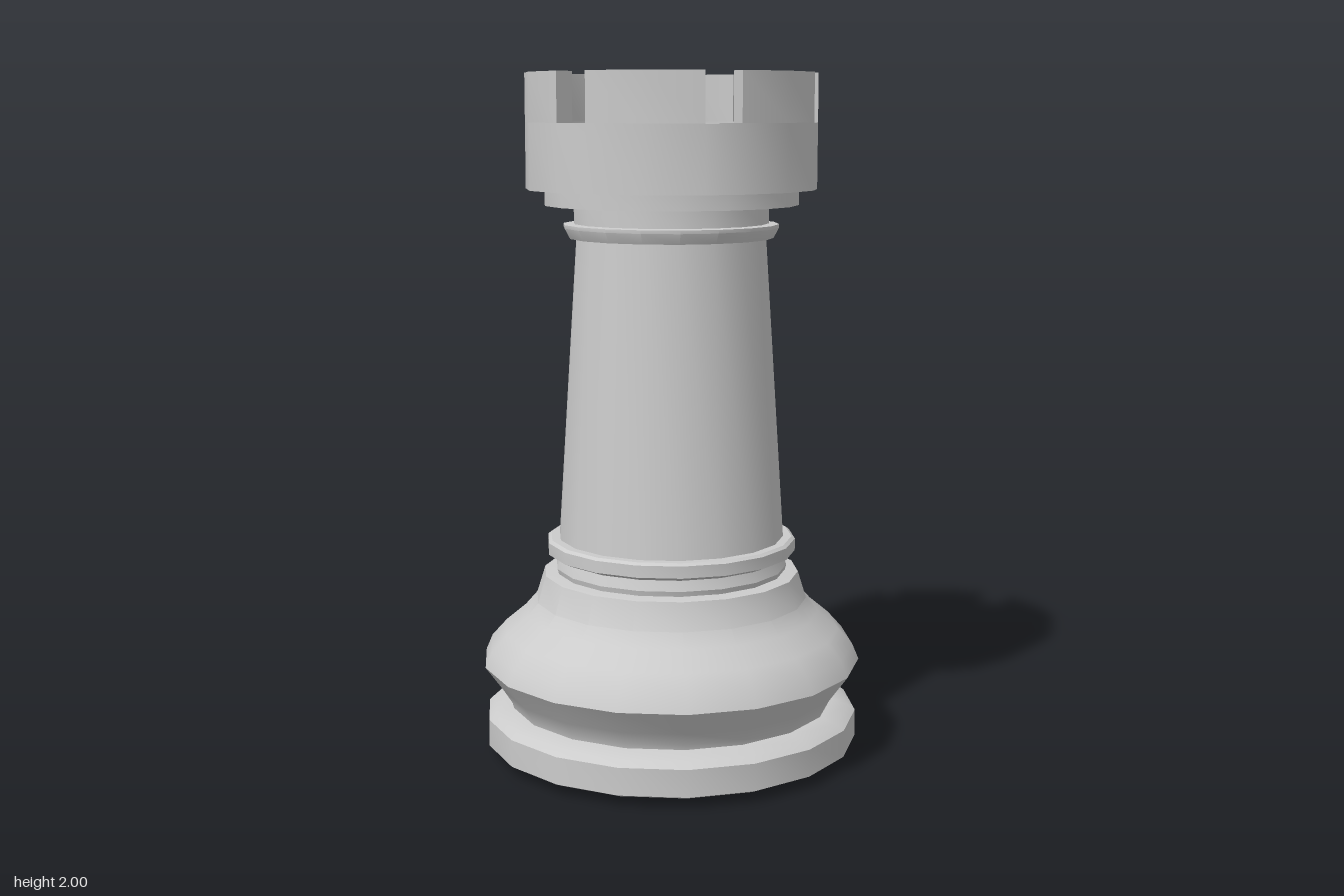
import * as THREE from 'three';
import { toCreasedNormals } from 'three/addons/utils/BufferGeometryUtils.js';

const SIDES = 18;
const CREASE = 0.5;
const OUTER = 0.422, INNER = 0.36, HALF_NOTCH = 0.053;
const RIM_BASE = 1.67, NOTCH_FLOOR = 1.86, TOP = 2;

export function createModel() {
  const model = new THREE.Group();
  model.name = 'rook';
  const material = new THREE.MeshStandardMaterial({ color: 0xcccccc });

  const add = (name, geometry, parent = model) => {
    const mesh = new THREE.Mesh(toCreasedNormals(geometry, CREASE), material);
    mesh.name = name;
    parent.add(mesh);
    return mesh;
  };
  // Turned part from [radius, height] pairs, listed bottom to top
  const turned = (name, profile, phase = THREE.MathUtils.degToRad(5)) =>
    add(name, new THREE.LatheGeometry(profile.map(([r, y]) => new THREE.Vector2(r, y)), SIDES, phase));

  turned('baseDisc', [[0, 0.005], [0.39, 0], [0.4, 0.02], [0.535, 0.025], [0.556, 0.035],
    [0.556, 0.115], [0.535, 0.13], [0.49, 0.145], [0, 0.15]]);
  turned('baseBulge', [[0.48, 0.14], [0.485, 0.16], [0.51, 0.2], [0.564, 0.275], [0.545, 0.32],
    [0.5, 0.37], [0.44, 0.42], [0.405, 0.46], [0.38, 0.54], [0.345, 0.545], [0, 0.55]]);
  turned('lowerCollar', [[0.34, 0.54], [0.345, 0.56], [0.335, 0.59], [0.37, 0.605],
    [0.37, 0.64], [0.36, 0.647], [0, 0.647]]);
  turned('shaft', [[0.335, 0.64], [0.277, 1.53]]);
  turned('upperCollar', [[0.27, 1.53], [0.298, 1.53], [0.314, 1.56], [0.314, 1.57], [0.27, 1.573]]);
  turned('neck', [[0.284, 1.57], [0.284, 1.63]]);
  turned('crownStep', [[0.27, 1.625], [0.37, 1.625], [0.37, RIM_BASE + 0.005], [0, RIM_BASE + 0.005]]);

  // Crown corners: both edges of each notch, plus the middle of each merlon
  const point = (r, a) => new THREE.Vector2(r * Math.cos(a), r * Math.sin(a));
  const merlonArc = (r, i) => {
    const start = Math.PI / 6 + i * Math.PI / 3, cut = Math.asin(HALF_NOTCH / r);
    return [start + cut, start + Math.PI / 6, start + Math.PI / 3 - cut].map(a => point(r, a));
  };
  const ringPoints = r => Array.from({ length: 6 }, (_, i) => merlonArc(r, i)).flat();
  const slab = (shape, bottom, top) =>
    new THREE.ExtrudeGeometry(shape, { depth: top - bottom, bevelEnabled: false })
      .rotateX(-Math.PI / 2).translate(0, bottom, 0);

  const crown = new THREE.Group();
  crown.name = 'crown';
  model.add(crown);

  const ring = new THREE.Shape(ringPoints(OUTER));
  ring.holes.push(new THREE.Path(ringPoints(INNER).reverse()));
  add('crownWall', slab(ring, RIM_BASE, NOTCH_FLOOR), crown);
  add('crownFloor', new THREE.ShapeGeometry(new THREE.Shape(ringPoints(INNER)))
    .rotateX(-Math.PI / 2).translate(0, 1.84, 0), crown);

  // Six merlons with parallel-sided gaps between them
  for (let i = 0; i < 6; i++) {
    const outline = [...merlonArc(OUTER, i), ...merlonArc(INNER, i).reverse()];
    add('merlon' + (i + 1), slab(new THREE.Shape(outline), NOTCH_FLOOR, TOP), crown);
  }
  return model;
}
